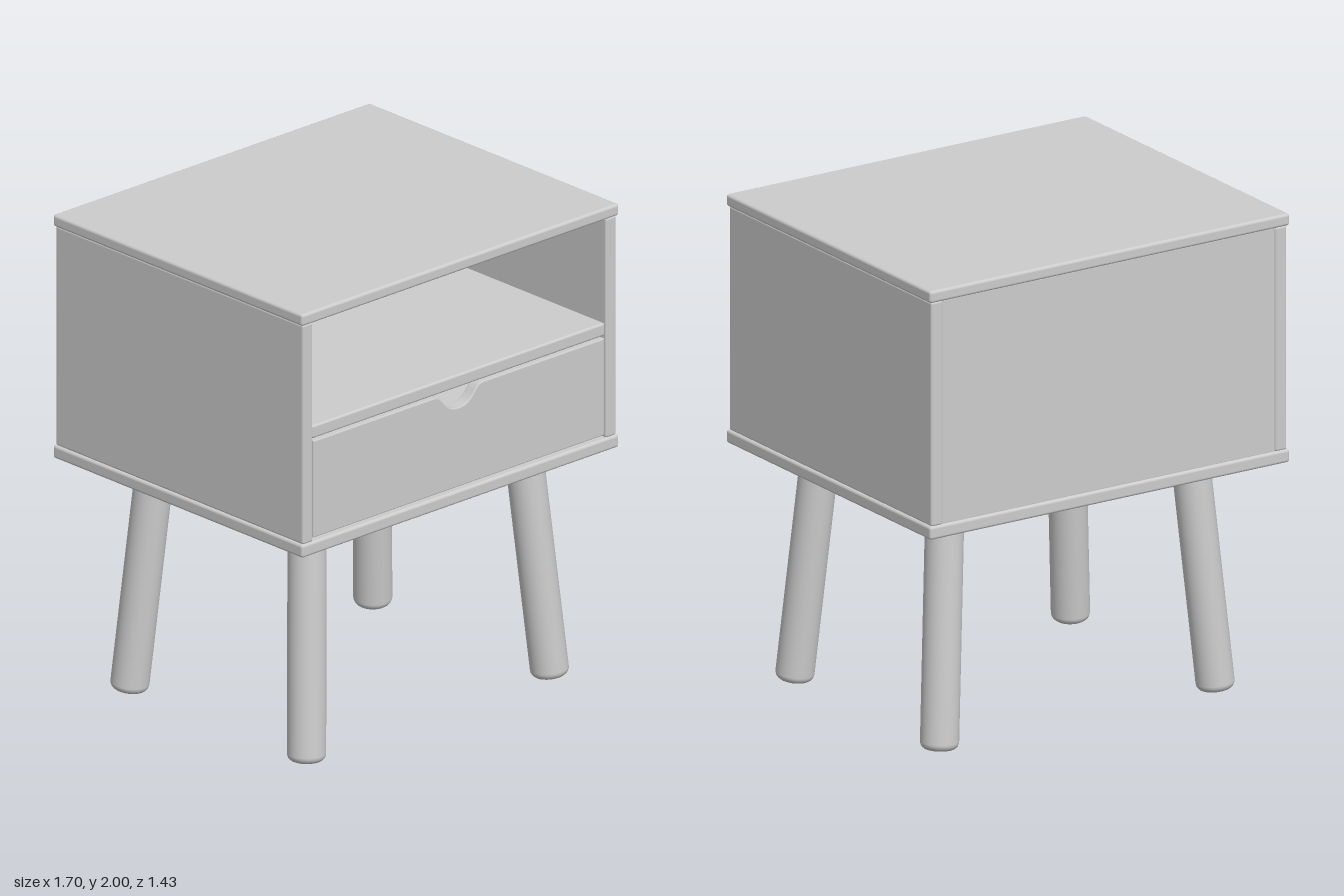
import * as THREE from 'three';
import { RoundedBoxGeometry } from 'three/addons/geometries/RoundedBoxGeometry.js';

export function createModel() {
  const model = new THREE.Group();
  model.name = 'nightstand';
  const grey = new THREE.MeshStandardMaterial({ color: 0xcccccc });
  grey.name = 'grey';

  const add = (name, geometry, parent = model) => {
    const mesh = new THREE.Mesh(geometry, grey);
    mesh.name = name;
    parent.add(mesh);
    return mesh;
  };
  // Panel given by its minimum and maximum on each axis, with softened edges
  const panel = (name, [x0, x1], [y0, y1], [z0, z1], radius = 0.01, parent = model) => {
    const size = [x1 - x0, y1 - y0, z1 - z0];
    const geometry = radius
      ? new RoundedBoxGeometry(...size, 3, radius)
      : new THREE.BoxGeometry(...size);
    const mesh = add(name, geometry, parent);
    mesh.position.set((x0 + x1) / 2, (y0 + y1) / 2, (z0 + z1) / 2);
    return mesh;
  };

  // Cabinet
  panel('top', [-0.85, 0.85], [1.95, 2], [-0.717, 0.717], 0.012);
  panel('base', [-0.85, 0.85], [0.97, 1.025], [-0.717, 0.717], 0.012);
  panel('leftSide', [0.785, 0.84], [1.022, 1.952], [-0.71, 0.71]);
  panel('rightSide', [-0.84, -0.785], [1.022, 1.952], [-0.71, 0.71]);
  panel('back', [-0.787, 0.787], [1.022, 1.952], [-0.705, -0.665], 0.005);
  panel('shelf', [-0.785, 0.785], [1.455, 1.51], [-0.67, 0.705]);

  // Drawer front with a scooped finger notch in its top edge
  const drawer = new THREE.Group();
  drawer.name = 'drawer';
  model.add(drawer);
  const face = new THREE.Shape();
  face.moveTo(-0.775, 1.04);
  face.lineTo(0.775, 1.04);
  face.lineTo(0.775, 1.44);
  face.lineTo(0.13, 1.44);
  face.bezierCurveTo(0.085, 1.44, 0.085, 1.365, 0, 1.365);
  face.bezierCurveTo(-0.085, 1.365, -0.085, 1.44, -0.13, 1.44);
  face.lineTo(-0.775, 1.44);
  face.closePath();
  const front = add('drawerFront', new THREE.ExtrudeGeometry(face, {
    depth: 0.04, curveSegments: 12,
    bevelThickness: 0.005, bevelSize: 0.005, bevelSegments: 2,
  }), drawer);
  front.position.z = 0.66;

  // Drawer box and runners
  panel('drawerBottom', [-0.74, 0.74], [1.06, 1.08], [-0.6, 0.66], 0, drawer);
  panel('drawerBack', [-0.74, 0.74], [1.08, 1.35], [-0.6, -0.57], 0, drawer);
  for (const s of [-1, 1]) {
    const span = (a, b) => (s > 0 ? [a, b] : [-b, -a]);
    panel('drawerSide', span(0.71, 0.74), [1.06, 1.35], [-0.6, 0.66], 0, drawer);
    panel('drawerRunner', span(0.74, 0.785), [1.2, 1.27], [-0.6, 0.64], 0, drawer);
  }

  // Splayed legs with rounded feet, collars and mounting plates
  const up = new THREE.Vector3(0, 1, 0);
  const plateY = 0.966;
  const legSpots = [[1, 0.455, 0.53], [-1, 0.455, 0.53], [1, -0.417, -0.488], [-1, -0.417, -0.488]];
  for (const [s, topZ, footZ] of legSpots) {
    const leg = new THREE.Group();
    leg.name = 'legAssembly';
    model.add(leg);
    const head = new THREE.Vector3(s * 0.58, 0.95, topZ);
    const foot = new THREE.Vector3(s * 0.653, 0.006, footZ);
    const axis = head.clone().sub(foot);
    const length = axis.length();
    const tilt = new THREE.Quaternion().setFromUnitVectors(up, axis.normalize());

    const outline = [new THREE.Vector2(0, 0)];
    const r = 0.077, round = 0.03;
    for (let i = 0; i <= 6; i++) {
      const a = (i / 6) * Math.PI / 2;
      outline.push(new THREE.Vector2(r - round + round * Math.sin(a), round - round * Math.cos(a)));
    }
    outline.push(new THREE.Vector2(r, length - 0.006), new THREE.Vector2(r - 0.006, length), new THREE.Vector2(0, length));
    const post = add('leg', new THREE.LatheGeometry(outline, 32), leg);
    post.position.copy(foot);
    post.quaternion.copy(tilt);

    const collar = add('legCollar', new THREE.CylinderGeometry(0.08, 0.08, 0.022, 32), leg);
    collar.position.copy(head).addScaledVector(axis, 0.003);
    collar.quaternion.copy(tilt);

    const plate = add('mountingPlate', new THREE.BoxGeometry(0.35, 0.01, 0.35), leg);
    plate.position.set(s * 0.583, plateY, topZ);
  }
  return model;
}
